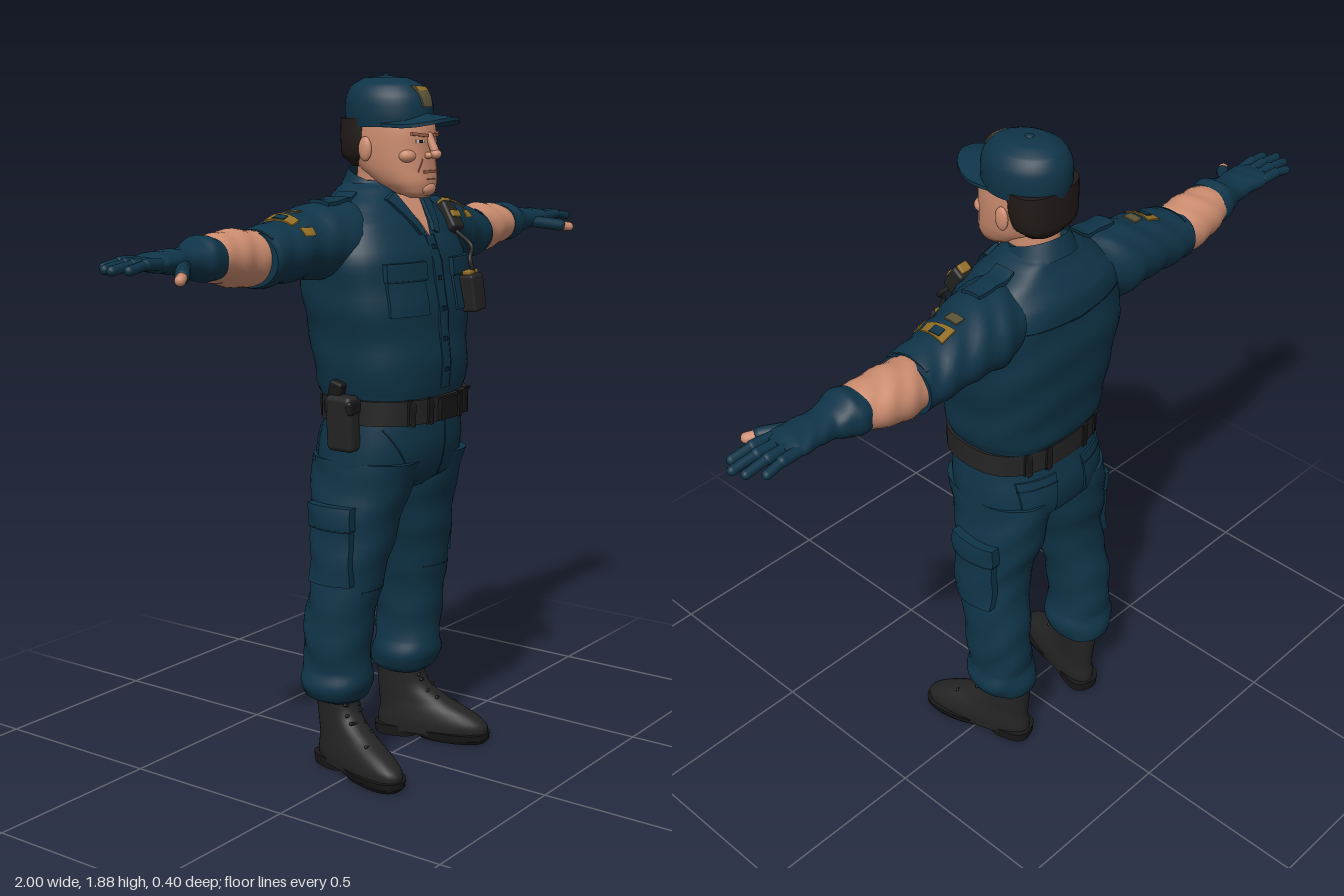
import * as THREE from 'three';
import { mergeVertices } from 'three/addons/utils/BufferGeometryUtils.js';
import { RoundedBoxGeometry } from 'three/addons/geometries/RoundedBoxGeometry.js';

export function createModel() {
  const root = new THREE.Group();
  root.name = 'officer';
  const material = (name, color, side = THREE.FrontSide) => {
    const m = new THREE.MeshStandardMaterial({ color, side });
    m.name = name;
    return m;
  };
  const navy = material('navy cloth', 0x0f3448, THREE.DoubleSide);
  const seam = material('dark navy seam', 0x0a2636);
  const skin = material('skin', 0xcd8d70);
  const lip = material('shaded skin', 0x9a5f4a);
  const black = material('black leather', 0x242424);
  const sole = material('rubber', 0x181818);
  const hair = material('dark hair', 0x211a17);
  const gold = material('gold', 0x8f6c24);
  const bronze = material('dull bronze', 0x5b5338);
  const white = material('eye white', 0xc9c0b8);

  const add = (name, geo, mat, parent = root) => {
    const m = new THREE.Mesh(geo, mat);
    m.name = name;
    parent.add(m);
    return m;
  };

  // Smooth skin over superellipse sections [t, c1, c2, r1, r2], stacked along y or x
  function loft(sections, { axis = 'y', p = 2, fold = 0, freq = 60, n = 32, sub = 5 } = {}) {
    const rows = [], pos = [], idx = [];
    const at = i => sections[Math.min(Math.max(i, 0), sections.length - 1)];
    for (let i = 0; i < sections.length - 1; i++) {
      for (let k = 0; k < sub || (i === sections.length - 2 && k === sub); k++) {
        const t = k / sub;
        rows.push(at(i).map((b, j) => {
          const a = at(i - 1)[j], c = at(i + 1)[j], d = at(i + 2)[j];
          if (j === 0) return b + (c - b) * t;
          return b + 0.5 * t * (c - a + t * (2 * a - 5 * b + 4 * c - d + t * (3 * (b - c) + d - a)));
        }));
      }
    }
    const put = (t, a, b) => axis === 'y' ? pos.push(a, t, b) : pos.push(t, a, b);
    const face = (a, b, c) => axis === 'y' ? idx.push(a, b, c) : idx.push(a, c, b);
    const ring = ([t, c1, c2, r1, r2]) => {
      for (let i = 0; i < n; i++) {
        const q = i / n * Math.PI * 2, c = Math.cos(q), s = Math.sin(q);
        const f = fold * Math.sin(t * freq + 2 * Math.sin(q + 0.5) + 1.5 * Math.cos(2 * q));
        put(t, c1 + (r1 + f) * Math.sign(c) * Math.abs(c) ** (2 / p), c2 + (r2 + f) * Math.sign(s) * Math.abs(s) ** (2 / p));
      }
    };
    rows.forEach(ring);
    for (let j = 0; j < rows.length - 1; j++) for (let i = 0; i < n; i++) {
      const a = j * n + i, b = j * n + (i + 1) % n;
      face(a, a + n, b);
      face(b, a + n, b + n);
    }
    [rows[0], rows[rows.length - 1]].forEach((r, end) => {
      const base = pos.length / 3;
      ring(r);
      put(r[0], r[1], r[2]);
      for (let i = 0; i < n; i++) {
        const a = base + i, b = base + (i + 1) % n;
        end ? face(a, base + n, b) : face(a, b, base + n);
      }
    });
    const g = new THREE.BufferGeometry();
    g.setAttribute('position', new THREE.Float32BufferAttribute(pos, 3));
    g.setIndex(idx);
    g.computeVertexNormals();
    return g;
  }

  // Thin plate laid over target surfaces; u, v are its centre as seen from that side
  const turns = {
    front: new THREE.Matrix4(),
    back: new THREE.Matrix4().makeRotationY(Math.PI),
    side: new THREE.Matrix4().makeRotationY(Math.PI / 2),
    top: new THREE.Matrix4().makeRotationX(-Math.PI / 2),
  };
  const caster = new THREE.Raycaster();
  function panel(name, mat, targets, dir, u, v, w, h, d = 0.008, { taper = 1, rot = 0, parent = root } = {}) {
    const g = new THREE.BoxGeometry(w, h, d, 6, 6, 1), P = g.attributes.position, M = turns[dir];
    const down = new THREE.Vector3(0, 0, -1).transformDirection(M);
    let last = 0;
    for (let i = 0; i < P.count; i++) {
      const x0 = P.getX(i) * THREE.MathUtils.lerp(taper, 1, P.getY(i) / h + 0.5), y0 = P.getY(i);
      const x = u + x0 * Math.cos(rot) - y0 * Math.sin(rot), y = v + x0 * Math.sin(rot) + y0 * Math.cos(rot);
      caster.set(new THREE.Vector3(x, y, 5).applyMatrix4(M), down);
      const hit = caster.intersectObjects(targets)[0];
      if (hit) last = 5 - hit.distance;
      P.setXYZ(i, x, y, last + (P.getZ(i) > 0 ? d : -0.004));
    }
    g.applyMatrix4(M);
    g.computeVertexNormals();
    return add(name, g, mat, parent);
  }

  const rod = (name, mat, a, b, r, parent, flat = 1) => {
    const A = new THREE.Vector3(...a), B = new THREE.Vector3(...b), dir = B.clone().sub(A);
    const m = add(name, new THREE.CapsuleGeometry(r, dir.length(), 6, 12), mat, parent);
    m.position.copy(A).add(B).multiplyScalar(0.5);
    m.quaternion.setFromUnitVectors(new THREE.Vector3(0, 1, 0), dir.normalize());
    m.scale.z = flat;
    return m;
  };
  const ball = (name, mat, p, s, parent = root) => {
    const m = add(name, new THREE.SphereGeometry(1, 20, 14), mat, parent);
    m.position.set(...p);
    m.scale.set(...s);
    return m;
  };
  const block = (name, mat, size, p, rot = [0, 0, 0], r = 0.008) => {
    const m = add(name, new RoundedBoxGeometry(...size, 2, r), mat);
    m.position.set(...p);
    m.rotation.set(...rot);
    return m;
  };
  // Copy a left-hand group to the right with the faces turned back outward
  function mirror(group, name) {
    const out = new THREE.Group();
    out.name = name;
    group.updateMatrixWorld(true);
    group.traverse(o => {
      if (!o.isMesh) return;
      let g = o.geometry.clone().applyMatrix4(o.matrixWorld).scale(-1, 1, 1);
      if (!g.index) g = mergeVertices(g);
      const I = g.index.array;
      for (let i = 0; i < I.length; i += 3) [I[i], I[i + 1]] = [I[i + 1], I[i]];
      add(o.name, g, o.material, out);
    });
    root.add(out);
  }
  const limb = name => { const g = new THREE.Group(); g.name = name; root.add(g); return g; };

  // Shirt and trouser top
  const torso = add('shirt', loft([[1.03, 0, 0.005, 0.196, 0.155], [1.08, 0, 0, 0.211, 0.172], [1.2, 0, -0.01, 0.226, 0.178],
    [1.32, 0, -0.022, 0.248, 0.178], [1.42, 0, -0.03, 0.252, 0.167], [1.5, 0, -0.042, 0.222, 0.145],
    [1.55, 0, -0.05, 0.165, 0.112], [1.59, 0, -0.052, 0.108, 0.085], [1.61, 0, -0.052, 0.078, 0.07]],
  { p: 2.6, fold: 0.0025, freq: 45, n: 48 }), navy);
  const hips = add('trouserTop', loft([[0.79, 0, -0.02, 0.15, 0.1], [0.83, 0, -0.015, 0.208, 0.15], [0.9, 0, -0.008, 0.212, 0.166],
    [0.97, 0, 0, 0.204, 0.16], [1.03, 0, 0.003, 0.196, 0.152]], { p: 2.4, n: 48 }), navy);

  // Arm with sleeve, bare forearm and glove
  const arm = limb('leftArm');
  const sleeve = add('sleeve', loft([[0.12, 1.47, -0.05, 0.09, 0.1], [0.22, 1.46, -0.066, 0.102, 0.116], [0.3, 1.458, -0.078, 0.088, 0.104],
    [0.4, 1.445, -0.08, 0.08, 0.094], [0.47, 1.435, -0.08, 0.073, 0.09], [0.488, 1.435, -0.08, 0.072, 0.088]],
  { axis: 'x', fold: 0.003, freq: 70 }), navy, arm);
  add('forearm', loft([[0.46, 1.437, -0.082, 0.064, 0.072], [0.53, 1.44, -0.088, 0.073, 0.075], [0.6, 1.446, -0.085, 0.064, 0.073],
    [0.68, 1.45, -0.078, 0.049, 0.06]], { axis: 'x', fold: 0.002, freq: 90 }), skin, arm);
  add('glove', loft([[0.645, 1.45, -0.078, 0.053, 0.065], [0.675, 1.452, -0.077, 0.056, 0.067], [0.7, 1.451, -0.074, 0.046, 0.061],
    [0.735, 1.45, -0.072, 0.035, 0.049], [0.79, 1.455, -0.072, 0.029, 0.052], [0.84, 1.457, -0.074, 0.023, 0.057],
    [0.872, 1.457, -0.074, 0.014, 0.053]], { axis: 'x', p: 2.3, fold: 0.001, freq: 120 }), navy, arm);
  [[-0.116, -0.124, 0.945], [-0.088, -0.09, 0.976], [-0.06, -0.057, 0.988], [-0.034, -0.026, 0.965]].forEach(([z0, z1, x]) => {
    rod('finger', navy, [0.85, 1.458, z0], [(0.85 + x) / 2, 1.461, (z0 + z1) / 2], 0.0145, arm);
    rod('finger', navy, [(0.85 + x) / 2, 1.461, (z0 + z1) / 2], [x, 1.453, z1], 0.012, arm);
  });
  rod('thumb', navy, [0.775, 1.447, -0.04], [0.845, 1.433, 0.022], 0.018, arm);
  rod('thumbTip', skin, [0.845, 1.432, 0.022], [0.872, 1.427, 0.04], 0.0135, arm);
  const A = { parent: arm };
  panel('shoulderPatch', gold, [sleeve], 'top', 0.375, 0.07, 0.045, 0.085, 0.004, { parent: arm, taper: 0.6 });
  panel('patchCentre', navy, [sleeve], 'top', 0.378, 0.075, 0.022, 0.035, 0.006, A);
  panel('patchBand', bronze, [sleeve], 'top', 0.325, 0.08, 0.028, 0.04, 0.004, A);
  panel('patchEdge', gold, [sleeve], 'front', 0.36, 1.498, 0.035, 0.02, 0.004, A);
  panel('epaulette', navy, [torso, sleeve], 'top', 0.185, 0.055, 0.12, 0.06, 0.009, A);
  panel('sleeveHem', seam, [sleeve], 'top', 0.473, 0.08, 0.006, 0.12, 0.002, A);

  // Leg with cargo pocket, gathered cuff and boot
  const leg = limb('leftLeg');
  const trouser = add('trouserLeg', loft([[0.2, 0.155, -0.075, 0.06, 0.07], [0.215, 0.16, -0.073, 0.082, 0.09], [0.255, 0.165, -0.07, 0.094, 0.1],
    [0.3, 0.167, -0.064, 0.083, 0.094], [0.42, 0.169, -0.058, 0.083, 0.097], [0.6, 0.148, -0.03, 0.092, 0.102],
    [0.75, 0.121, -0.028, 0.109, 0.132], [0.88, 0.106, -0.01, 0.104, 0.16]], { p: 2.2, fold: 0.003, freq: 50 }), navy, leg);
  panel('cargoPocket', navy, [trouser], 'side', 0.035, 0.635, 0.135, 0.17, 0.02, A.parent && { parent: leg });
  panel('cargoFlap', navy, [trouser], 'side', 0.035, 0.735, 0.145, 0.06, 0.026, { parent: leg });
  panel('cargoSeam', seam, [trouser], 'side', 0.035, 0.702, 0.14, 0.005, 0.025, { parent: leg });
  panel('kneeSeam', seam, [trouser], 'front', 0.15, 0.53, 0.11, 0.004, 0.002, { parent: leg });
  panel('frontPocketSeam', seam, [hips], 'front', 0.15, 0.925, 0.004, 0.11, 0.002, { parent: leg, rot: -0.5 });
  panel('backPocket', navy, [hips], 'back', -0.105, 0.9, 0.11, 0.12, 0.006, { parent: leg, taper: 0.85 });
  panel('backPocketSeam', seam, [hips], 'back', -0.105, 0.935, 0.11, 0.004, 0.007, { parent: leg });

  const boot = new THREE.Group();
  boot.name = 'boot';
  boot.position.set(0.15, 0, -0.078);
  boot.rotation.y = 0.27;
  leg.add(boot);
  add('bootUpper', loft([[0.018, 0, 0.098, 0.053, 0.165], [0.05, 0, 0.098, 0.056, 0.165], [0.08, 0, 0.08, 0.053, 0.142],
    [0.11, 0, 0.047, 0.048, 0.11], [0.15, 0, 0.014, 0.046, 0.08], [0.19, 0, 0.002, 0.047, 0.07], [0.24, 0, 0, 0.05, 0.069]], { p: 2.3 }), black, boot);
  add('bootSole', loft([[0.009, 0, 0.155, 0.054, 0.112], [0.03, 0, 0.155, 0.06, 0.115]], { p: 2.4, sub: 1 }), sole, boot);
  add('bootHeel', loft([[0, 0, -0.01, 0.046, 0.062], [0.03, 0, -0.01, 0.049, 0.065]], { p: 2.8, sub: 1 }), sole, boot);
  add('toeTread', loft([[0, 0, 0.16, 0.048, 0.098], [0.012, 0, 0.16, 0.055, 0.11]], { p: 2.4, sub: 1 }), sole, boot);
  [[0.1, 0.166], [0.122, 0.128], [0.146, 0.099], [0.17, 0.08], [0.192, 0.073]].forEach(([y, z], i) =>
    rod('lace', sole, [-0.025, y + (i % 2 ? 0.004 : -0.004), z - 0.008], [0.025, y - (i % 2 ? 0.004 : -0.004), z - 0.008], 0.005, boot));
  mirror(arm, 'rightArm');
  mirror(leg, 'rightLeg');

  // Shirt front: open neck, placket, buttons and pockets
  panel('openNeck', skin, [torso], 'front', 0, 1.525, 0.1, 0.11, 0.004, { taper: 0.05 });
  panel('placket', navy, [torso], 'front', 0, 1.27, 0.035, 0.4, 0.004);
  panel('placketSeam', seam, [torso], 'front', 0.019, 1.27, 0.003, 0.4, 0.005);
  for (let i = 0; i < 5; i++) panel('button', seam, [torso], 'front', 0, 1.12 + i * 0.08, 0.012, 0.012, 0.008);
  for (const s of [-1, 1]) {
    panel('chestPocket', navy, [torso], 'front', s * 0.125, 1.33, 0.12, 0.12, 0.007);
    panel('pocketFlap', navy, [torso], 'front', s * 0.125, 1.385, 0.13, 0.045, 0.013);
    panel('pocketSeam', seam, [torso], 'front', s * 0.125, 1.36, 0.125, 0.004, 0.011);
    panel('collarFlap', navy, [torso], 'front', s * 0.052, 1.525, 0.042, 0.105, 0.012, { taper: 0.45, rot: -s * 0.42 });
    panel('yokeSeam', seam, [torso], 'back', s * 0.1, 1.45, 0.2, 0.003, 0.002, { rot: s * 0.08 });
  }
  const collar = new THREE.CylinderGeometry(0.08, 0.102, 0.055, 28, 2, true, 0.5, Math.PI * 2 - 1);
  const cp = collar.attributes.position;
  for (let i = 0; i < cp.count; i++) cp.setY(i, cp.getY(i) - 0.35 * cp.getZ(i));
  collar.computeVertexNormals();
  add('collar', collar, navy).position.set(0, 1.59, -0.045);
  panel('flySeam', seam, [hips], 'front', 0.018, 0.91, 0.004, 0.16, 0.002);

  // Belt, buckle, keepers and holster
  const belt = add('belt', loft([[0.985, 0, 0.008, 0.209, 0.167], [1.05, 0, 0.008, 0.207, 0.169]], { p: 2.5, sub: 1, n: 48 }), black);
  panel('buckle', sole, [belt], 'front', 0, 1.017, 0.075, 0.058, 0.012);
  for (const u of [-0.13, -0.07, 0.07, 0.13]) for (const d of ['front', 'back']) panel('beltKeeper', sole, [belt], d, u, 1.017, 0.018, 0.07, 0.006);
  block('holster', black, [0.05, 0.15, 0.085], [-0.222, 0.99, 0], [0, 0, 0.06], 0.015);
  block('holsterFlap', sole, [0.055, 0.04, 0.09], [-0.222, 1.035, 0], [0, 0, 0.06], 0.01);
  block('sidearmGrip', sole, [0.03, 0.06, 0.04], [-0.222, 1.07, -0.02], [0.25, 0, 0]);

  // Radio, shoulder microphone and cord
  block('radio', black, [0.058, 0.1, 0.045], [0.13, 1.31, 0.172], [-0.08, 0, 0.1]);
  block('radioKnob', gold, [0.045, 0.012, 0.025], [0.127, 1.364, 0.165], [0, 0, 0.1], 0.004);
  block('microphone', black, [0.05, 0.085, 0.04], [0.146, 1.505, 0.084], [-0.6, 0, -0.12]);
  block('microphoneClip', gold, [0.036, 0.02, 0.008], [0.147, 1.516, 0.103], [-0.6, 0, -0.12], 0.003);
  block('microphoneTop', gold, [0.03, 0.012, 0.026], [0.152, 1.546, 0.06], [-0.6, 0, -0.12], 0.004);
  const cord = new THREE.CatmullRomCurve3([[0.14, 1.47, 0.11], [0.155, 1.43, 0.15], [0.125, 1.4, 0.165], [0.135, 1.35, 0.175]].map(p => new THREE.Vector3(...p)));
  add('cord', new THREE.TubeGeometry(cord, 24, 0.006, 8), black);

  // Head
  add('neck', loft([[1.5, 0, -0.045, 0.066, 0.07], [1.58, 0, -0.035, 0.067, 0.07], [1.68, 0, -0.02, 0.072, 0.075]]), skin);
  const head = add('head', loft([[1.566, 0, 0.085, 0.03, 0.022], [1.578, 0, 0.072, 0.052, 0.047], [1.605, 0, 0.045, 0.073, 0.08],
    [1.64, 0, 0.02, 0.086, 0.102], [1.69, 0, 0.003, 0.093, 0.117], [1.74, 0, 0, 0.094, 0.118], [1.79, 0, -0.005, 0.09, 0.11]], { p: 2.3, n: 40 }), skin);
  add('hair', loft([[1.645, 0, -0.06, 0.06, 0.05], [1.67, 0, -0.07, 0.088, 0.058], [1.71, 0, -0.066, 0.098, 0.064], [1.77, 0, -0.063, 0.099, 0.066]], { p: 2.5 }), hair);
  rod('noseBridge', skin, [0, 1.725, 0.116], [0, 1.688, 0.135], 0.011, root);
  ball('noseTip', skin, [0, 1.679, 0.137], [0.015, 0.013, 0.017]);
  ball('chin', skin, [0, 1.59, 0.112], [0.03, 0.019, 0.018]);
  panel('mouth', lip, [head], 'front', 0, 1.634, 0.056, 0.007, 0.004);
  panel('lowerLip', lip, [head], 'front', 0, 1.615, 0.035, 0.003, 0.003);
  for (const s of [-1, 1]) {
    ball('ear', skin, [s * 0.097, 1.692, -0.018], [0.011, 0.032, 0.02]);
    ball('nostril', skin, [s * 0.014, 1.676, 0.124], [0.009, 0.009, 0.012]);
    ball('cheek', skin, [s * 0.052, 1.675, 0.085], [0.028, 0.02, 0.024]);
    panel('eye', white, [head], 'front', s * 0.036, 1.712, 0.024, 0.008, 0.003);
    panel('iris', hair, [head], 'front', s * 0.036, 1.712, 0.009, 0.008, 0.004);
    panel('brow', lip, [head], 'front', s * 0.038, 1.729, 0.042, 0.008, 0.008, { rot: s * 0.12 });
    panel('cheekFold', lip, [head], 'front', s * 0.036, 1.65, 0.003, 0.035, 0.002, { rot: s * 0.4 });
  }

  // Cap with curved brim and plain badge
  const cap = add('cap', loft([[1.748, 0, -0.008, 0.1, 0.121], [1.785, 0, -0.01, 0.103, 0.123], [1.825, 0, -0.012, 0.099, 0.118],
    [1.855, 0, -0.016, 0.08, 0.098], [1.873, 0, -0.02, 0.048, 0.06], [1.879, 0, -0.02, 0.006, 0.008]], { n: 40 }), navy);
  panel('capBadge', bronze, [cap], 'front', 0, 1.826, 0.058, 0.055, 0.005, { taper: 0.65 });
  panel('badgeTop', gold, [cap], 'front', 0, 1.846, 0.045, 0.01, 0.007);
  ball('capButton', navy, [0, 1.877, -0.02], [0.012, 0.006, 0.012]);
  const brim = new THREE.CylinderGeometry(1, 1, 0.009, 48, 1);
  brim.scale(0.098, 1, 0.135);
  const bp = brim.attributes.position;
  for (let i = 0; i < bp.count; i++) {
    const x = bp.getX(i), z = bp.getZ(i);
    bp.setXYZ(i, x, bp.getY(i) - 3.2 * x * x - 0.1 * Math.max(z, 0), Math.max(z, -0.03));
  }
  brim.computeVertexNormals();
  add('brim', brim, navy).position.set(0, 1.783, 0.062);

  return root;
}
